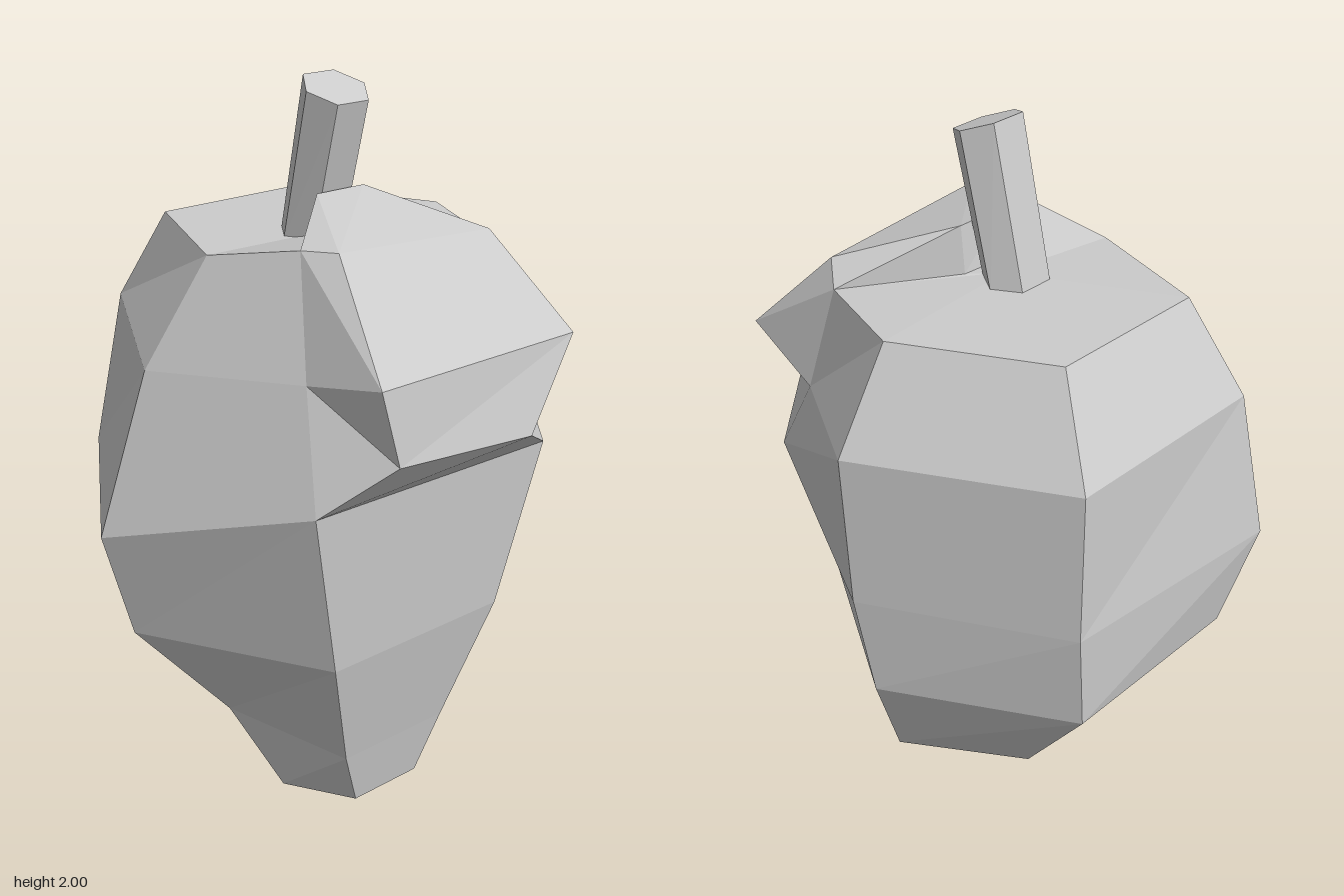
import * as THREE from 'three';

// Six-sided rings from the tip up; columns run front +x, +x, back +x, back -x, -x, front -x
const rings = [
  [[0.14, 0.13, 0.3], [0.25, 0.12, 0.12], [0.13, 0.1, -0.06], [-0.07, 0.1, -0.06], [-0.18, 0.12, 0.12], [-0.07, 0.13, 0.3]],
  [[0.2, 0.31, 0.33], [0.42, 0.29, 0.04], [0.21, 0.28, -0.25], [-0.13, 0.28, -0.25], [-0.29, 0.37, 0.03], [-0.13, 0.31, 0.33]],
  [[0.31, 0.66, 0.4], [0.555, 0.66, -0.05], [0.28, 0.66, -0.5], [-0.25, 0.66, -0.5], [-0.52, 0.66, -0.05], [-0.225, 0.66, 0.4]],
  [[0.415, 1.11, 0.43], [0.585, 0.96, -0.03], [0.31, 0.96, -0.51], [-0.31, 0.96, -0.56], [-0.595, 0.96, -0.05], [-0.31, 1.12, 0.43]],
  [[0.415, 1.345, 0.29], [0.59, 1.38, -0.03], [0.31, 1.38, -0.51], [-0.24, 1.38, -0.51], [-0.46, 1.37, -0.03], [-0.26, 1.4, 0.33]],
  [[0.36, 1.61, 0.235], [0.44, 1.62, -0.03], [0.24, 1.62, -0.38], [-0.17, 1.62, -0.38], [-0.27, 1.61, -0.04], [-0.2, 1.675, 0.23]],
];
const tip = [0.03, 0, 0.17];
const topCentre = [0.04, 1.62, 0];

// Each side of the front bulge: lower lip, middle, brow, ridge end, foot of the ridge
const bulgeLeft = [[0.23, 1.225, 0.56], [0.4, 1.43, 0.51], [0.31, 1.65, 0.3], [0.11, 1.74, 0.07], [0.11, 1.62, 0.06]];
const bulgeRight = [[-0.17, 1.255, 0.55], [-0.21, 1.44, 0.53], [-0.155, 1.68, 0.31], [-0.03, 1.74, 0.07], [-0.04, 1.62, 0.05]];

function meshBuilder() {
  const pos = [];
  const tri = (a, b, c) => pos.push(...a, ...b, ...c);
  const quad = (a, b, c, d) => { tri(a, b, c); tri(a, c, d); };
  const build = (name) => {
    const g = new THREE.BufferGeometry();
    g.setAttribute('position', new THREE.Float32BufferAttribute(pos, 3));
    g.computeVertexNormals();
    const mesh = new THREE.Mesh(g, new THREE.MeshStandardMaterial({ color: 0xcccccc, flatShading: true }));
    mesh.name = name;
    return mesh;
  };
  return { tri, quad, build };
}

function createBody() {
  const { tri, quad, build } = meshBuilder();
  // pointed bottom
  for (let i = 0; i < 6; i++) tri(tip, rings[0][(i + 1) % 6], rings[0][i]);
  // walls, left open at the front above the fourth ring for the bulge
  for (let r = 0; r < 5; r++) {
    for (let i = 0; i < (r < 3 ? 6 : 5); i++) {
      const j = (i + 1) % 6;
      quad(rings[r][i], rings[r][j], rings[r + 1][j], rings[r + 1][i]);
    }
  }
  // top around the stem
  const rim = [bulgeLeft[4], ...rings[5], bulgeRight[4]];
  for (let i = 0; i < rim.length; i++) tri(topCentre, rim[i], rim[(i + 1) % rim.length]);
  return build('body');
}

function createBulge() {
  const { tri, quad, build } = meshBuilder();
  // front strips from the underside to the back of the ridge
  const left = [rings[3][0], ...bulgeLeft];
  const right = [rings[3][5], ...bulgeRight];
  for (let i = 0; i < left.length - 1; i++) quad(right[i], left[i], left[i + 1], right[i + 1]);
  // cheeks joining the bulge to the body
  const cheek = ([lip, mid, brow, ridge, foot], col, flip) => {
    const [low, middle, top] = [rings[3][col], rings[4][col], rings[5][col]];
    const faces = [
      [lip, low, middle], [lip, middle, mid], [mid, middle, top],
      [mid, top, brow], [brow, top, ridge], [ridge, top, foot],
    ];
    for (const [a, b, c] of faces) flip ? tri(a, c, b) : tri(a, b, c);
  };
  cheek(bulgeLeft, 0, false);
  cheek(bulgeRight, 5, true);
  return build('frontBulge');
}

// Leaning six-sided stem with a slanted end
function createStem() {
  const { tri, quad, build } = meshBuilder();
  const outline = [[0.045, 0.065], [0.085, 0], [0.045, -0.065], [-0.045, -0.065], [-0.085, 0], [-0.045, 0.065]];
  const base = outline.map(([x, z]) => [0.035 + x, 1.61, -0.035 + z]);
  const end = outline.map(([x, z]) => [0.035 + x, 1.975 - z * 0.38, 0.055 + z]);
  for (let i = 0; i < 6; i++) {
    const j = (i + 1) % 6;
    quad(base[i], base[j], end[j], end[i]);
    tri([0.035, 1.975, 0.055], end[i], end[j]);
  }
  return build('stem');
}

export function createModel() {
  const group = new THREE.Group();
  group.name = 'lowPolyFruit';
  group.add(createBody(), createBulge(), createStem());
  return group;
}
